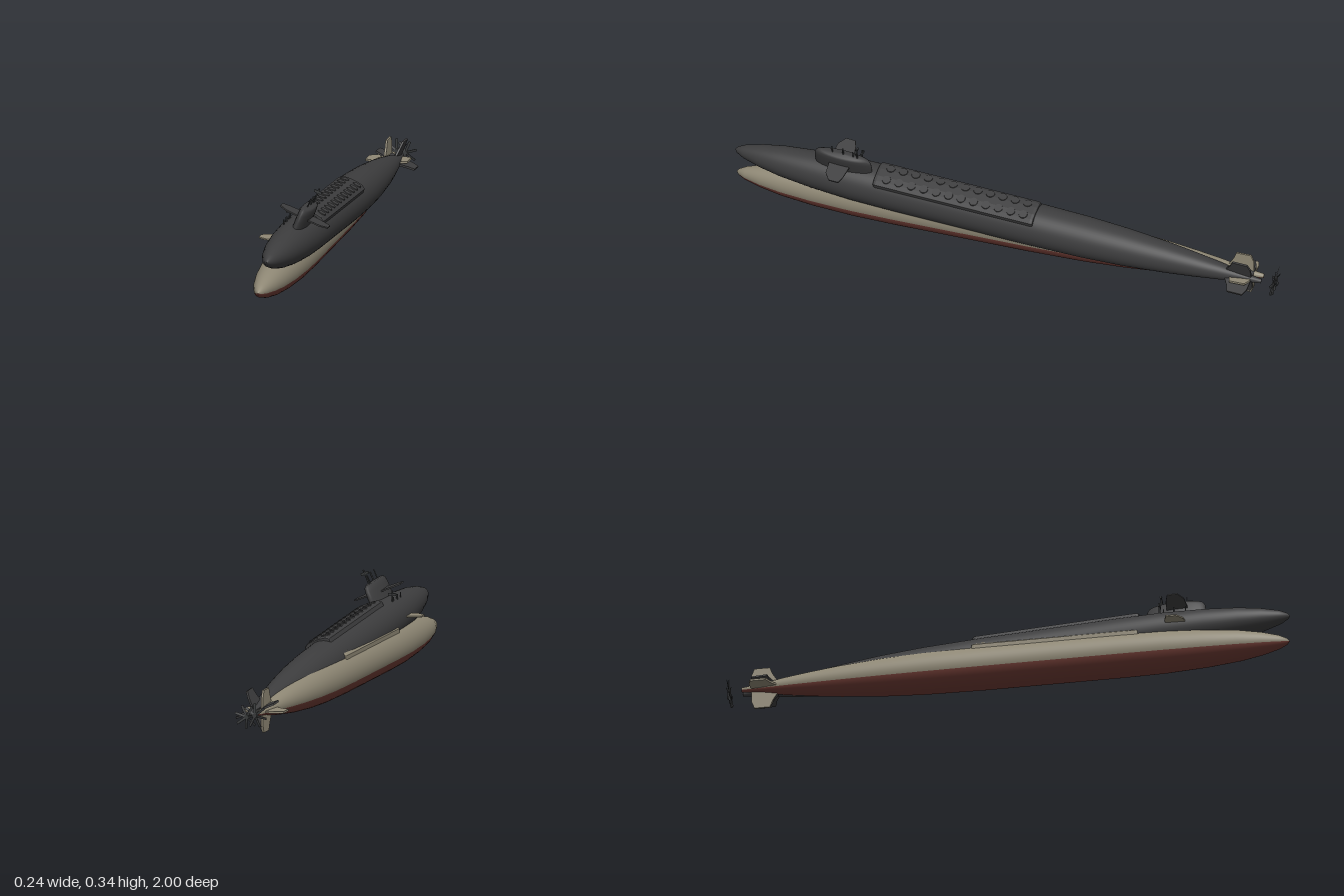
import * as THREE from 'three';

const mat = (name, color) => Object.assign(new THREE.MeshStandardMaterial({ color }), { name });
const add = (parent, name, geo, material) => {
  const mesh = new THREE.Mesh(geo, material);
  mesh.name = name;
  parent.add(mesh);
  return mesh;
};
const polygon = pts => new THREE.Shape(pts.map(p => new THREE.Vector2(...p)));

// hull radius along the length, stern to bow: [radius, z]
const HULL = [[0.0001, -0.952], [0.008, -0.95], [0.016, -0.88], [0.03, -0.8], [0.043, -0.7], [0.054, -0.6],
  [0.066, -0.45], [0.073, -0.3], [0.076, -0.1], [0.076, 0.4], [0.074, 0.55], [0.066, 0.7], [0.054, 0.82],
  [0.04, 0.9], [0.024, 0.96], [0.011, 0.987], [0.0001, 0.996]].map(p => new THREE.Vector2(...p));

// part of the revolved hull; angle 0 is the keel
const hullPart = (start, sweep, segments) =>
  new THREE.LatheGeometry(HULL, segments, start, sweep).rotateX(Math.PI / 2);

// flat swept plate: points are [span, z], thickness along y
function plate(pts, thickness) {
  const geo = new THREE.ExtrudeGeometry(polygon(pts), { depth: thickness, bevelEnabled: false });
  return geo.translate(0, 0, -thickness / 2).rotateX(Math.PI / 2);
}

function submarine(name, upper, lower, metal) {
  const sub = new THREE.Group();
  sub.name = name;

  // hull, split at the waterline
  const half = THREE.MathUtils.degToRad(72);
  add(sub, 'lowerHull', hullPart(-half, 2 * half, 20), lower);
  add(sub, 'upperHull', hullPart(half, 2 * Math.PI - 2 * half, 30), upper);

  // raised missile deck with two rows of hatches
  const section = polygon([[-0.047, 0.03], [0.047, 0.03], [0.047, 0.07], [0.035, 0.078],
    [0.015, 0.081], [-0.015, 0.081], [-0.035, 0.078], [-0.047, 0.07]]);
  const deck = new THREE.ExtrudeGeometry(section,
    { depth: 0.57, bevelThickness: 0.01, bevelSize: 0.003, bevelSegments: 2 });
  add(sub, 'missileDeck', deck.translate(0, 0, -0.115), upper);
  for (let i = 0; i < 12; i++) {
    for (const s of [-1, 1]) {
      const hatch = add(sub, 'hatch', new THREE.CylinderGeometry(0.015, 0.016, 0.005, 16), upper);
      hatch.position.set(s * 0.024, 0.0825, -0.085 + i * 0.046);
      hatch.rotation.z = -s * 0.12;
    }
  }

  // sail with rounded top
  const sailProfile = [[0.97, 0.04], [1, 0.09], [0.98, 0.115], [0.92, 0.13], [0.75, 0.137], [0.0001, 0.14]];
  const sail = new THREE.LatheGeometry(sailProfile.map(p => new THREE.Vector2(...p)), 32);
  add(sub, 'sail', sail.scale(0.023, 1, 0.106).translate(0, 0, 0.588), upper);

  // sail planes
  for (const s of [-1, 1]) {
    const plane = add(sub, 'sailPlane',
      plate([[0, 0.555], [0.065, 0.565], [0.092, 0.575], [0.092, 0.61], [0.065, 0.63], [0, 0.635]], 0.005), upper);
    plane.position.y = 0.096;
    if (s < 0) plane.geometry.rotateZ(Math.PI);
  }

  // masts and the crossbar antenna
  for (const [z, top, r] of [[0.625, 0.17, 0.002], [0.585, 0.17, 0.003], [0.548, 0.165, 0.002], [0.533, 0.19, 0.003]]) {
    const mast = add(sub, 'mast', new THREE.CylinderGeometry(r, r, top - 0.13, 10), metal);
    mast.position.set(0, (top + 0.13) / 2, z);
  }
  add(sub, 'antennaCrossbar', new THREE.BoxGeometry(0.029, 0.009, 0.005), metal).position.set(0, 0.177, 0.533);

  // cross-shaped stern fins
  for (let i = 0; i < 4; i++) {
    const fin = add(sub, 'sternFin',
      plate([[0.005, -0.915], [0.05, -0.915], [0.075, -0.905], [0.075, -0.85], [0.05, -0.84], [0.005, -0.81]], 0.007), upper);
    fin.rotation.z = i * Math.PI / 2;
  }

  // propeller
  const propeller = new THREE.Group();
  propeller.name = 'propeller';
  propeller.position.z = -0.996;
  sub.add(propeller);
  add(propeller, 'propellerHub', new THREE.CylinderGeometry(0.008, 0.008, 0.008, 16).rotateX(Math.PI / 2), metal);
  for (let i = 0; i < 7; i++) {
    const blade = new THREE.BoxGeometry(0.009, 0.04, 0.0015).rotateY(0.35).translate(0, 0.023, 0);
    add(propeller, 'propellerBlade', blade.rotateZ(i * 2 * Math.PI / 7), metal);
  }
  return sub;
}

export function createModel() {
  const beige = mat('beige hull', 0x8f8875);
  const red = mat('red hull', 0x6e3b34);
  const dark = mat('dark hull', 0x3d3d3e);
  const metal = mat('dark metal', 0x383a3b);

  const model = new THREE.Group();
  model.name = 'submarines';

  // upright lower boat
  const lowerBoat = submarine('lowerBoat', beige, red, metal);
  lowerBoat.position.set(-0.03, 0.077, 0);

  // upper boat, bow raised and rolled to its left
  const upperBoat = submarine('upperBoat', dark, dark, metal);
  upperBoat.position.set(0, 0.13, -0.003);
  upperBoat.rotation.set(-0.059, 0, THREE.MathUtils.degToRad(-22));

  model.add(lowerBoat, upperBoat);
  return model;
}
